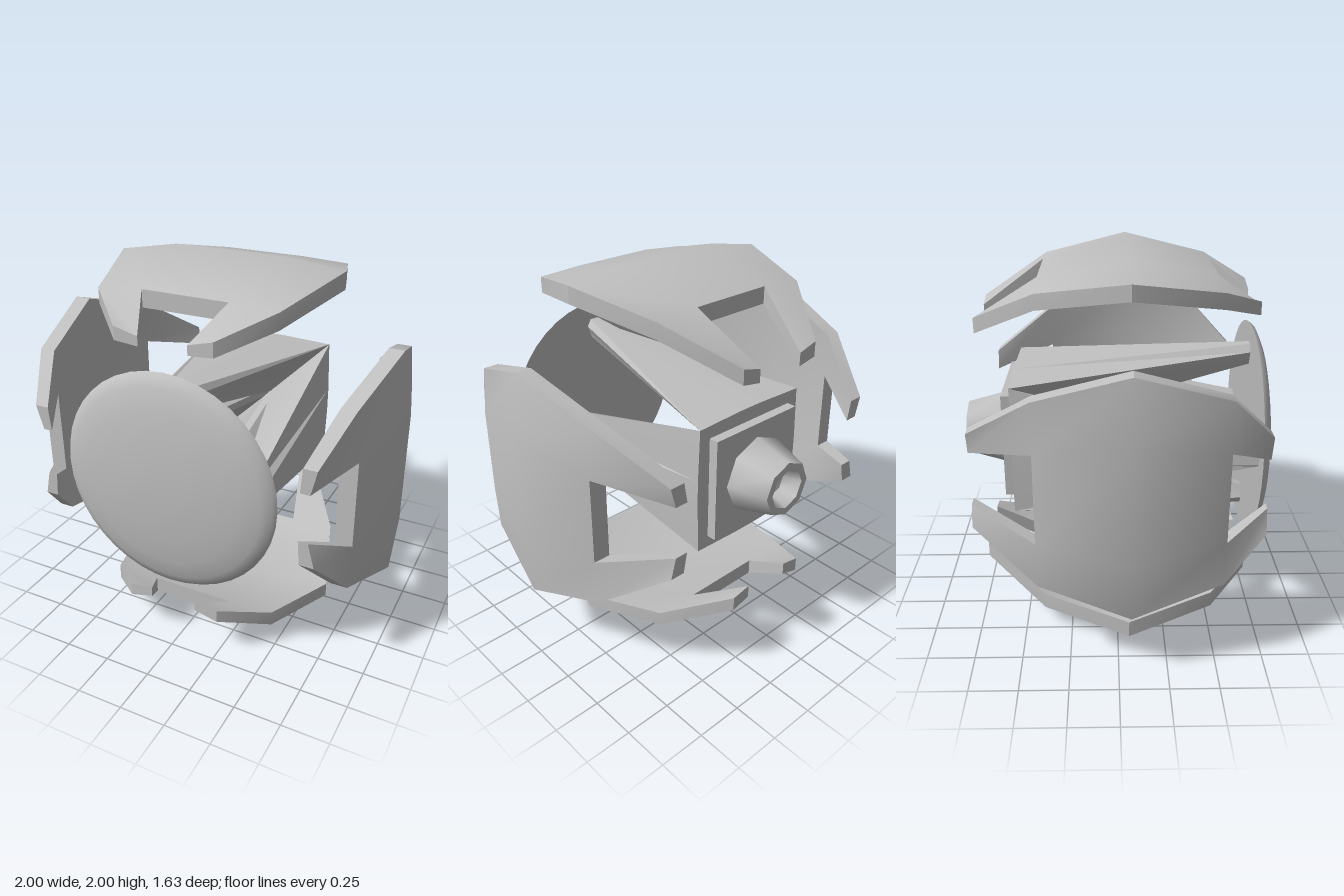
import * as THREE from 'three';
import { toCreasedNormals } from 'three/addons/utils/BufferGeometryUtils.js';

const metal = new THREE.MeshStandardMaterial({ color: 0xc0c0c0 });
metal.name = 'plain grey';

function mesh(name, geometry, crease) {
  const m = new THREE.Mesh(toCreasedNormals(geometry, crease), metal);
  m.name = name;
  return m;
}

function solid(points, faces) {
  const g = new THREE.BufferGeometry();
  g.setAttribute('position', new THREE.Float32BufferAttribute(points.flat(), 3));
  g.setIndex(faces.flat());
  return g;
}

const quad = (a, b, c, d) => [a, b, c, a, c, d];

// Curved armour plate with a notch at each end, lying above the z axis
function plateGeometry() {
  // z, inner x, outer x, top and underside at inner x, then at the left and right outer x
  const rows = [
    [-0.72, 0.14, 0.25, 0.66, 0.59, 0.69, 0.61, 0.69, 0.61],
    [-0.395, 0.23, 0.48, 0.89, 0.8, 0.865, 0.785, 0.88, 0.795],
    [0.06, 0.3, 0.625, 1.0, 0.9, 0.94, 0.86, 0.97, 0.88],
    [0.51, 0.23, 0.48, 0.89, 0.8, 0.865, 0.785, 0.88, 0.795],
    [0.72, 0.13, 0.26, 0.74, 0.69, 0.77, 0.7, 0.775, 0.7],
  ];
  const top = [], under = [], faces = [], cells = [], edges = new Set();
  for (const [z, xi, xo, ti, ui, tl, ul, tr, ur] of rows) {
    top.push([-xo, tl, z], [-xi, ti, z], [xi, ti, z], [xo, tr, z]);
    under.push([-xo, ul, z], [-xi, ui, z], [xi, ui, z], [xo, ur, z]);
  }
  const n = top.length;
  for (let r = 0; r < 4; r++) for (let c = 0; c < 3; c++) {
    if (c === 1 && (r === 0 || r === 3)) continue; // notches
    const a = r * 4 + c;
    cells.push([a, a + 4, a + 5, a + 1]);
  }
  for (const q of cells) {
    faces.push(quad(...q), quad(...q.map((i) => i + n).reverse()));
    q.forEach((a, i) => edges.add(a + ',' + q[(i + 1) % 4]));
  }
  // Rim walls along edges used by one cell only
  for (const e of edges) {
    const [a, b] = e.split(',').map(Number);
    if (!edges.has(b + ',' + a)) faces.push(quad(a + n, b + n, b, a));
  }
  return solid([...top, ...under], faces);
}

// Strut that is thin at the dish and widens into a quarter of the square rear body
function strutGeometry() {
  const front = [[-0.05, 0.44], [-0.025, 0.48], [0.025, 0.48], [0.05, 0.44], [0.025, 0.37], [-0.025, 0.37]];
  const back = [[-0.35, 0.35], [-0.07, 0.36], [0.07, 0.36], [0.35, 0.35], [0.02, 0], [-0.02, 0]];
  const points = [...front.map(([x, y]) => [x, y, 0.725]), ...back.map(([x, y]) => [x, y, -0.55])];
  const n = front.length, faces = [];
  for (let i = 0; i < n; i++) {
    const j = (i + 1) % n;
    faces.push(quad(i, j, j + n, i + n));
    if (i > 0 && i < n - 1) faces.push([0, i + 1, i], [n, n + i, n + i + 1]);
  }
  return solid(points, faces);
}

// Turned part around the z axis, from [radius, z] pairs
function turned(profile, sides) {
  return new THREE.LatheGeometry(profile.map(([r, z]) => new THREE.Vector2(r, z)), sides).rotateX(Math.PI / 2);
}

export function createModel() {
  const model = new THREE.Group();
  model.name = 'armouredPod';
  model.position.y = 1;

  // Four plates and four struts around the axis
  const plate = plateGeometry(), strut = strutGeometry();
  for (let i = 0; i < 4; i++) {
    const side = new THREE.Group();
    side.name = 'side' + (i + 1);
    side.rotation.z = (i * Math.PI) / 2;
    side.add(mesh('armourPlate', plate, 0.6), mesh('strut', strut, 0.7));
    model.add(side);
  }

  // Front dish
  model.add(mesh('dish', turned([
    [0, 0.72], [0.585, 0.72], [0.57, 0.74], [0.52, 0.763], [0.42, 0.785], [0.28, 0.802], [0.14, 0.811], [0, 0.814],
  ], 40), 0.7));

  // Rear plate and hollow nozzle
  const rear = mesh('rearPlate', new THREE.BoxGeometry(0.57, 0.57, 0.07), 0.5);
  rear.position.z = -0.567;
  model.add(rear);
  model.add(mesh('nozzle', turned([
    [0, -0.7], [0.08, -0.72], [0.11, -0.815], [0.15, -0.815], [0.21, -0.6],
  ], 8), 0.85));

  const root = new THREE.Group();
  root.name = 'model';
  root.add(model);
  return root;
}
